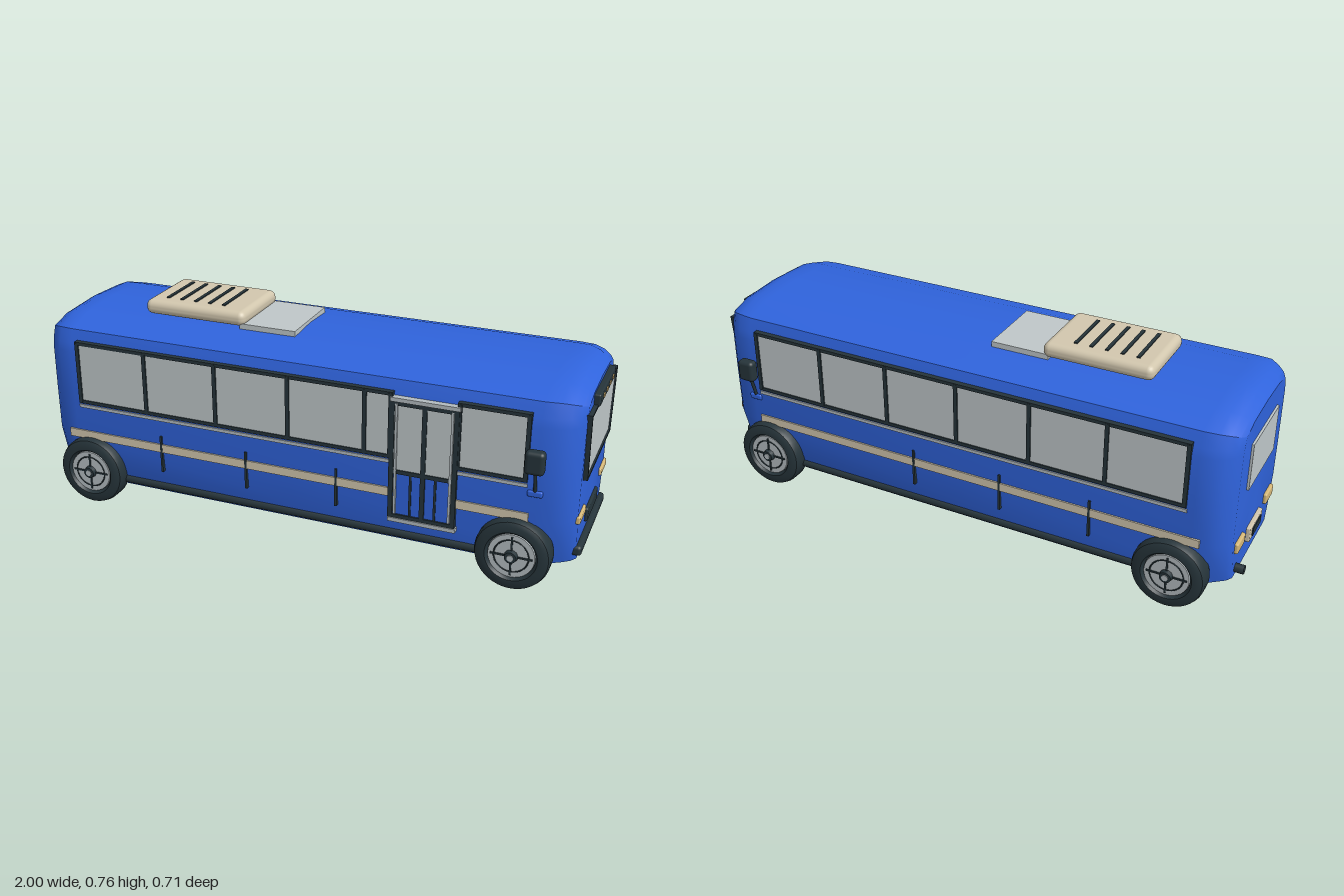
import * as THREE from 'three';
import { toCreasedNormals } from 'three/addons/utils/BufferGeometryUtils.js';
import { RoundedBoxGeometry } from 'three/addons/geometries/RoundedBoxGeometry.js';

const material = (name, color, side = THREE.FrontSide) => {
  const m = new THREE.MeshStandardMaterial({ color, side });
  m.name = name;
  return m;
};

export function createModel() {
  const blue = material('blue paint', 0x2f63dc);
  const dark = material('dark rubber', 0x26343a);
  const glass = material('pale glass', 0xbfc7c9);
  const silver = material('silver trim', 0xb4bcc0);
  const cream = material('cream', 0xd2c7ae);
  const amber = material('amber lamp', 0xd6b878);

  const bus = new THREE.Group();
  bus.name = 'bus';
  const add = (name, geo, mat, x = 0, y = 0, z = 0, parent = bus) => {
    const mesh = new THREE.Mesh(geo, mat);
    mesh.name = name;
    mesh.position.set(x, y, z);
    parent.add(mesh);
    return mesh;
  };
  // Box given by its limits on each axis
  const box = (name, mat, x0, x1, y0, y1, z0, z1, parent = bus) =>
    add(name, new THREE.BoxGeometry(x1 - x0, y1 - y0, Math.abs(z1 - z0)), mat,
      (x0 + x1) / 2, (y0 + y1) / 2, (z0 + z1) / 2, parent);
  const softBox = (name, mat, r, x0, x1, y0, y1, z0, z1, parent = bus) =>
    add(name, new RoundedBoxGeometry(x1 - x0, y1 - y0, Math.abs(z1 - z0), 3, r), mat,
      (x0 + x1) / 2, (y0 + y1) / 2, (z0 + z1) / 2, parent);
  const rod = (name, mat, a, b, r, parent = bus) => {
    const from = new THREE.Vector3(...a), to = new THREE.Vector3(...b);
    const mesh = add(name, new THREE.CylinderGeometry(r, r, from.distanceTo(to), 12), mat, 0, 0, 0, parent);
    mesh.position.copy(from).lerp(to, 0.5);
    mesh.quaternion.setFromUnitVectors(new THREE.Vector3(0, 1, 0), to.sub(from).normalize());
    return mesh;
  };

  // Body shell: one cross-section lofted along x, narrowing at both ends
  const half = [[0, 0.077], [0.278, 0.077], [0.292, 0.14], [0.302, 0.25], [0.304, 0.42],
    [0.303, 0.58], [0.296, 0.61], [0.28, 0.66], [0.185, 0.69], [0, 0.7]];
  const ring = [...half, ...half.slice(1, -1).reverse().map(([z, y]) => [-z, y])];
  // x, width factor, roof height factor, extra narrowing low down
  const stations = [[-0.968, 0.75, 0.6, 0.04], [-0.955, 0.84, 0.72, 0.04], [-0.93, 0.92, 0.88, 0.04],
    [-0.9, 0.985, 1, 0.03], [-0.85, 1, 1, 0], [0, 1, 1, 0], [0.85, 1, 1, 0], [0.9, 0.975, 1, 0.03],
    [0.935, 0.92, 0.9, 0.04], [0.96, 0.84, 0.75, 0.04], [0.975, 0.75, 0.62, 0.04]];
  const pos = [], idx = [], n = ring.length;
  for (const [x, w, k, p] of stations)
    for (const [z, y] of ring) {
      const pinch = 1 - p * 3 * Math.max(0, (0.25 - y) / 0.173);
      pos.push(x, y > 0.6 ? 0.6 + (y - 0.6) * k : y, z * w * pinch);
    }
  for (let i = 0; i < stations.length - 1; i++)
    for (let j = 0; j < n; j++) {
      const a = i * n + j, b = i * n + (j + 1) % n;
      idx.push(a, a + n, b, b, a + n, b + n);
    }
  const last = (stations.length - 1) * n, c = pos.length / 3;
  pos.push(stations[0][0], 0.38, 0, stations.at(-1)[0], 0.38, 0);
  for (let j = 0; j < n; j++) {
    const k = (j + 1) % n;
    idx.push(c, j, k, c + 1, last + k, last + j);
  }
  const shell = new THREE.BufferGeometry();
  shell.setAttribute('position', new THREE.Float32BufferAttribute(pos, 3));
  shell.setIndex(idx);
  add('body', toCreasedNormals(shell, 0.7), blue);

  // A framed row of side windows, with posts at the given places
  const windowRow = (s, x0, x1, posts) => {
    const g = new THREE.Group();
    g.name = 'sideWindows';
    bus.add(g);
    box('windowGlass', glass, x0, x1, 0.395, 0.615, s * 0.29, s * 0.307, g);
    for (const y of [0.395, 0.618]) box('windowRail', dark, x0 - 0.007, x1 + 0.007, y - 0.006, y + 0.006, s * 0.288, s * 0.311, g);
    for (const x of [x0, ...posts, x1]) box('windowPost', dark, x - 0.007, x + 0.007, 0.39, 0.62, s * 0.288, s * 0.312, g);
  };
  windowRow(1, -0.82, 0.36, [-0.55, -0.277, -0.005, 0.27]);
  windowRow(1, 0.59, 0.812, []);
  windowRow(-1, -0.82, 0.812, [-0.55, -0.277, -0.005, 0.27, 0.54]);

  // Side trim, panel seams, skirt rail and mirrors
  for (const s of [1, -1]) {
    box('thinTrim', silver, -0.83, 0.82, 0.37, 0.382, s * 0.3, s * 0.308);
    box('sideStripe', cream, -0.88, 0.83, 0.247, 0.278, s * 0.298, s * 0.308);
    for (const x of [-0.5, -0.167, 0.17]) box('panelSeam', dark, x - 0.004, x + 0.004, 0.17, 0.31, s * 0.285, s * 0.309);
    rod('skirtRail', dark, [-0.72, 0.1, s * 0.28], [0.72, 0.1, s * 0.28], 0.016);

    softBox('mirrorBase', blue, 0.006, 0.82, 0.87, 0.34, 0.362, s * 0.285, s * 0.31);
    rod('mirrorArm', dark, [0.845, 0.355, s * 0.302], [0.845, 0.45, s * 0.328], 0.006);
    softBox('mirrorHead', dark, 0.014, 0.812, 0.876, 0.436, 0.516, s * 0.314, s * 0.354);
  }

  // Passenger door on the model's near side
  const door = new THREE.Group();
  door.name = 'door';
  bus.add(door);
  box('doorPanel', blue, 0.36, 0.59, 0.165, 0.605, 0.28, 0.309, door);
  box('doorGlass', glass, 0.375, 0.575, 0.345, 0.59, 0.3, 0.311, door);
  for (const x of [0.367, 0.477, 0.583]) box('doorPost', dark, x - 0.008, x + 0.008, 0.165, 0.61, 0.285, 0.315, door);
  for (const x of [0.435, 0.52]) box('doorBar', dark, x - 0.004, x + 0.004, 0.18, 0.345, 0.3, 0.313, door);
  for (const y of [0.18, 0.345, 0.59]) box('doorRail', dark, 0.36, 0.59, y - 0.007, y + 0.007, 0.285, 0.315, door);
  for (const x of [0.382, 0.57]) box('doorHandle', silver, x - 0.004, x + 0.004, 0.19, 0.59, 0.3, 0.317, door);
  for (const y of [0.167, 0.604]) box('doorTrim', silver, 0.36, 0.595, y - 0.007, y + 0.007, 0.29, 0.319, door);

  // Windscreen: trapezoid glass set in a dark surround
  const trapezoid = (g) => new THREE.Shape([[-0.2 - g, 0.383 - g], [0.2 + g, 0.383 - g],
    [0.222 + g, 0.608 + g], [-0.222 - g, 0.608 + g]].map(p => new THREE.Vector2(...p)));
  const screen = (name, shape, depth, mat, x) => {
    const m = add(name, new THREE.ExtrudeGeometry(shape, { depth, bevelEnabled: false }), mat, x);
    m.rotation.y = Math.PI / 2;
  };
  const surround = trapezoid(0.005);
  surround.holes.push(trapezoid(-0.003));
  screen('windscreenSurround', surround, 0.03, dark, 0.96);
  screen('windscreen', trapezoid(0), 0.025, glass, 0.959);

  // Front face details
  softBox('markerBoard', dark, 0.006, 0.95, 0.996, 0.607, 0.648, -0.137, 0.137);
  for (const z of [-0.081, -0.027, 0.027, 0.081]) box('markerLamp', amber, 0.99, 1, 0.622, 0.634, z - 0.008, z + 0.008);
  softBox('grille', dark, 0.007, 0.965, 0.985, 0.165, 0.216, -0.088, 0.088);
  softBox('frontBumper', dark, 0.012, 0.955, 0.993, 0.099, 0.135, -0.21, 0.21);
  for (const s of [1, -1]) softBox('headlamp', amber, 0.006, 0.94, 0.984, 0.23, 0.258, s * 0.134, s * 0.234);

  // Rear face details
  box('rearWindow', glass, -0.976, -0.96, 0.4, 0.57, -0.14, 0.14);
  softBox('plateHolder', cream, 0.004, -0.982, -0.96, 0.15, 0.205, -0.07, 0.07);
  box('plate', dark, -0.986, -0.975, 0.163, 0.193, -0.045, 0.045);
  for (const s of [1, -1]) softBox('tailLamp', amber, 0.006, -0.98, -0.94, 0.185, 0.225, s * 0.12, s * 0.2);
  rod('exhaust', dark, [-0.88, 0.105, -0.16], [-1, 0.105, -0.16], 0.016);

  // Roof unit with vents and a flat hatch in front of it
  softBox('roofUnit', cream, 0.024, -0.63, -0.24, 0.7, 0.754, -0.143, 0.143);
  for (let i = 0; i < 5; i++) box('roofVent', dark, -0.566 + i * 0.055, -0.554 + i * 0.055, 0.75, 0.758, -0.095, 0.095);
  box('roofHatch', glass, -0.26, -0.05, 0.685, 0.712, -0.135, 0.135);

  // Wheels: lathed tyre, silver disc, dark spokes and hub
  const profile = [[0.001, -0.045], [0.1, -0.045], [0.12, -0.037], [0.127, -0.02], [0.127, 0.022],
    [0.122, 0.036], [0.108, 0.044], [0.088, 0.044], [0.08, 0.034], [0.078, 0.02]];
  const tyreGeo = toCreasedNormals(new THREE.LatheGeometry(profile.map(p => new THREE.Vector2(...p)), 40), 0.6);
  for (const x of [-0.79, 0.79]) for (const s of [1, -1]) {
    const wheel = new THREE.Group();
    wheel.name = 'wheel';
    wheel.position.set(x, 0.127, s * 0.295);
    wheel.rotation.x = s * Math.PI / 2;
    bus.add(wheel);
    add('tyre', tyreGeo, dark, 0, 0, 0, wheel);
    add('wheelDisc', new THREE.CylinderGeometry(0.078, 0.08, 0.03, 32), silver, 0, 0.022, 0, wheel);
    const groove = add('wheelRing', new THREE.TorusGeometry(0.058, 0.0025, 6, 32), dark, 0, 0.038, 0, wheel);
    groove.rotation.x = Math.PI / 2;
    for (const a of [0, Math.PI / 2])
      add('wheelSpoke', new THREE.BoxGeometry(0.14, 0.006, 0.006), dark, 0, 0.038, 0, wheel).rotation.y = a;
    add('hub', new THREE.CylinderGeometry(0.02, 0.024, 0.02, 16), dark, 0, 0.042, 0, wheel);
    add('hubCap', new THREE.CylinderGeometry(0.011, 0.011, 0.004, 16), silver, 0, 0.053, 0, wheel);
  }
  return bus;
}
